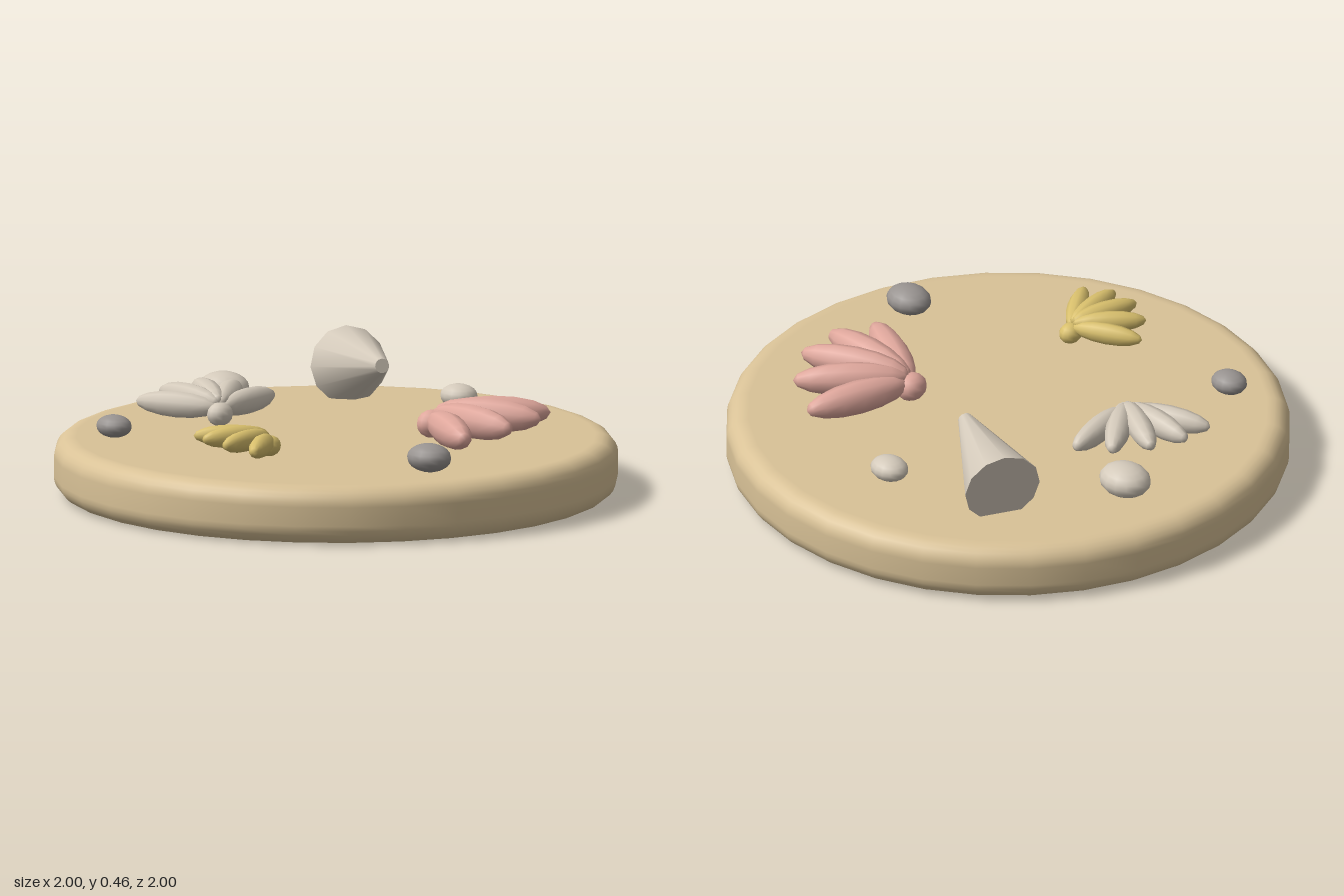
import * as THREE from 'three';

const mat = (name, color) => {
  const m = new THREE.MeshStandardMaterial({ color });
  m.name = name;
  return m;
};

export function createModel() {
  const sand = mat('sand', 0xd9c297);
  const pink = mat('pink shell', 0xdfa79c);
  const yellow = mat('yellow shell', 0xd8bf6c);
  const cream = mat('cream shell', 0xd3c9ba);
  const grey = mat('grey stone', 0x989390);

  const model = new THREE.Group();
  model.name = 'sandDiscWithShells';

  const add = (parent, name, geometry, material) => {
    const mesh = new THREE.Mesh(geometry, material);
    mesh.name = name;
    parent.add(mesh);
    return mesh;
  };

  // Sand disc: flat faces with rounded rims
  const H = 0.208, R = 0.07;
  const profile = [[0, 0], [0.92, 0]];
  for (let i = 0; i <= 6; i++) {
    const a = -Math.PI / 2 + (i / 6) * Math.PI / 2;
    profile.push([1 - R + R * Math.cos(a), R + R * Math.sin(a)]);
  }
  for (let i = 0; i <= 6; i++) {
    const a = (i / 6) * Math.PI / 2;
    profile.push([1 - R + R * Math.cos(a), H - R + R * Math.sin(a)]);
  }
  profile.push([0.92, H], [0, H]);
  add(model, 'sandDisc',
    new THREE.LatheGeometry(profile.map(([x, y]) => new THREE.Vector2(x, y)), 32), sand);

  // Fan shells: five ribs spread from a small hinge; angle is measured from +x towards +z
  const ribGeometry = new THREE.SphereGeometry(1, 10, 8).rotateZ(-Math.PI / 2);
  const hingeGeometry = new THREE.SphereGeometry(1, 12, 8);
  function addFan(name, x, z, size, middleAngle, material) {
    const fan = new THREE.Group();
    fan.name = name;
    fan.position.set(x, 0, z);
    for (let i = 0; i < 5; i++) {
      const angle = THREE.MathUtils.degToRad(middleAngle + (i - 2) * 25);
      const rib = add(fan, 'rib' + (i + 1), ribGeometry, material);
      const reach = 0.215 * size;
      const y = 0.28 + 0.032 * size * Math.sin((i / 4) * Math.PI);
      rib.position.set(Math.cos(angle) * reach, y, Math.sin(angle) * reach);
      rib.rotation.y = -angle;
      rib.scale.set(0.205 * size, 0.061 * size, 0.058 * size);
    }
    const hinge = add(fan, 'hinge', hingeGeometry, material);
    hinge.position.y = 0.24 + 0.024 * size;
    hinge.scale.set(0.052, 0.05, 0.06).multiplyScalar(0.3 + 0.7 * size);
    model.add(fan);
  }
  addFan('pinkFanShell', 0.3, -0.175, 1, -18.5, pink);
  addFan('creamFanShell', -0.395, 0.175, 0.78, -147, cream);
  addFan('yellowFanShell', 0.12, 0.485, 0.64, 110, yellow);

  // Cone shell lying on its side, blunt tip
  const base = new THREE.Vector3(-0.465, 0.32, -0.58);
  const tip = new THREE.Vector3(-0.125, 0.387, -0.383);
  const axis = tip.clone().sub(base);
  const cone = add(model, 'coneShell',
    new THREE.CylinderGeometry(0.026, 0.14, axis.length(), 12), cream);
  cone.position.copy(base).add(tip).multiplyScalar(0.5);
  cone.quaternion.setFromUnitVectors(new THREE.Vector3(0, 1, 0), axis.normalize());

  // Pebbles: x, y, z, width radius, material
  const pebbleGeometry = new THREE.SphereGeometry(1, 14, 10);
  [
    [0, 0.258, -0.65, 0.072, cream],
    [-0.695, 0.265, -0.18, 0.098, cream],
    [0.705, 0.26, 0.29, 0.085, grey],
    [-0.53, 0.257, 0.585, 0.068, grey],
  ].forEach(([x, y, z, r, material], i) => {
    const pebble = add(model, 'pebble' + (i + 1), pebbleGeometry, material);
    pebble.position.set(x, y, z);
    pebble.scale.set(r, r * 0.6, r * 0.85);
  });

  return model;
}
